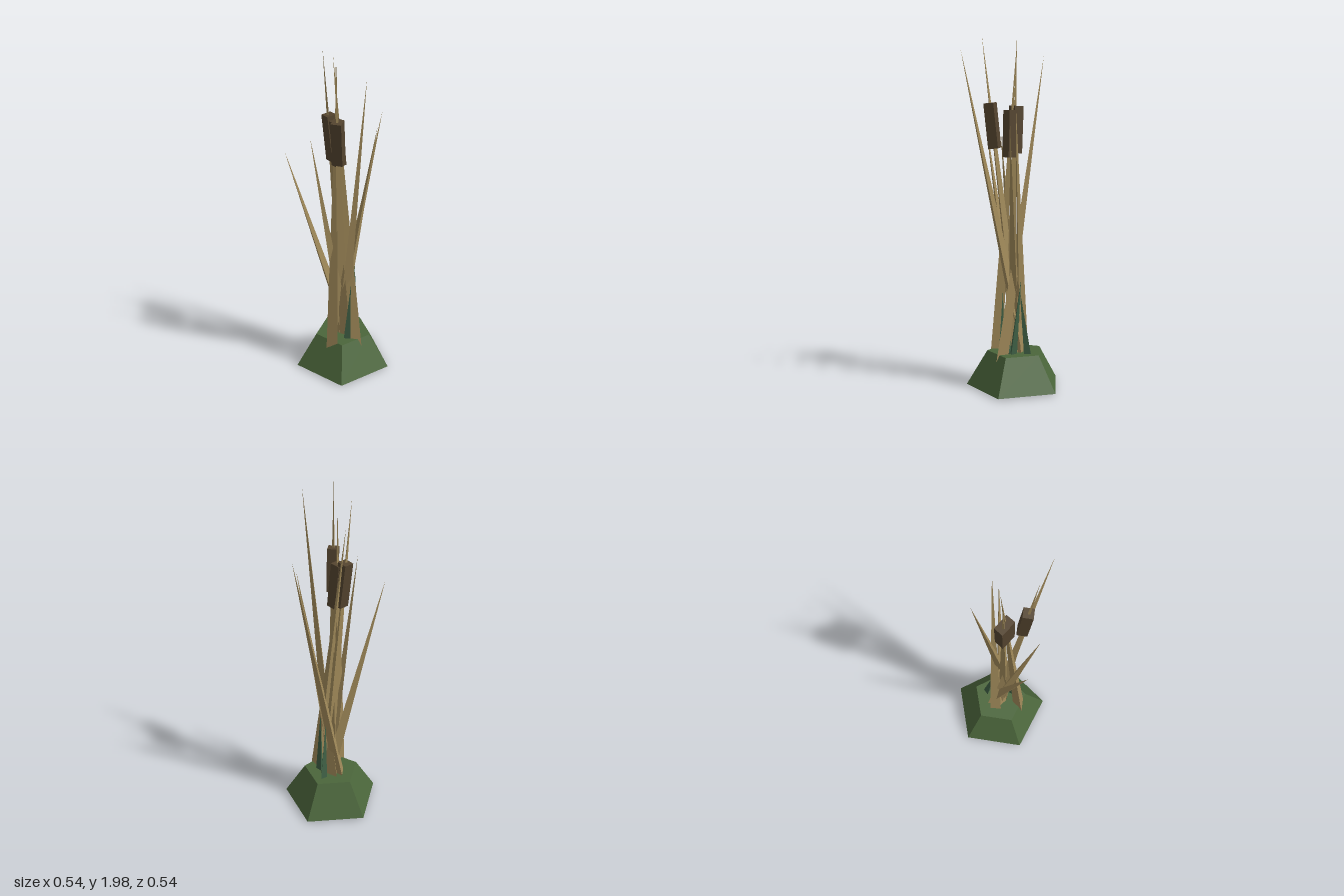
import * as THREE from 'three';

const mat = (name, color) => {
  const m = new THREE.MeshStandardMaterial({ color, flatShading: true });
  m.name = name;
  return m;
};
const UP = new THREE.Vector3(0, 1, 0);

export function createModel() {
  const group = new THREE.Group();
  const moss = mat('moss green', 0x4b663b);
  const straw = mat('dry straw', 0xa18a5a);
  const brown = mat('seed brown', 0x54442f);
  const leafGreen = mat('leaf green', 0x3f6045);

  const add = (name, geometry, material) => {
    const mesh = new THREE.Mesh(geometry, material);
    mesh.name = name;
    group.add(mesh);
    return mesh;
  };

  // Places a geometry standing along y between two points
  const span = (name, a, b, makeGeometry, material, turn = 0) => {
    const from = new THREE.Vector3(...a), to = new THREE.Vector3(...b);
    const dir = to.clone().sub(from);
    const mesh = add(name, makeGeometry(dir.length()).rotateY(turn), material);
    mesh.position.copy(from).add(to).multiplyScalar(0.5);
    mesh.quaternion.setFromUnitVectors(UP, dir.normalize());
    return mesh;
  };
  const spike = (name, a, b, r, material, turn) =>
    span(name, a, b, (h) => new THREE.ConeGeometry(r, h, 3), material, turn);

  // Five-sided earth mound, one corner towards +x
  const mound = add('mound', new THREE.CylinderGeometry(0.162, 0.28, 0.2, 5).rotateY(Math.PI / 2), moss);
  mound.position.set(-0.01, 0.12, -0.005);

  // Dry blades: base, tip, turn
  const blades = [
    [[0.04, 0.02, -0.07], [-0.17, 1.92, 0.27], 0.5],
    [[-0.04, 0.02, 0.13], [0.08, 1.88, -0.14], 0],
    [[0.06, 0.02, 0.03], [-0.27, 1.43, -0.195], 1],
    [[0.04, 0.02, 0], [-0.255, 1.55, -0.03], 0.5],
    [[-0.03, 0.02, -0.09], [0.12, 1.62, 0.16], 0.4],
    [[-0.04, 0.02, -0.05], [0.08, 1.55, 0.16], 1.2],
  ];
  for (const [a, b, turn] of blades) spike('dryBlade', a, b, 0.043, straw, turn);

  // Cattails: stem base, tip, head bottom and top, turn
  const cattails = [
    [[0.02, 0.02, -0.03], [-0.18, 1.99, 0.08], [-0.115, 1.37, 0.05], [-0.14, 1.62, 0.06], 0.35],
    [[-0.02, 0.02, 0.05], [-0.07, 1.97, -0.09], [-0.045, 1.34, -0.04], [-0.053, 1.6, -0.065], -0.3],
    [[-0.145, 0.02, 0.025], [-0.025, 1.92, -0.03], [-0.05, 1.32, 0.0], [-0.058, 1.58, -0.02], -0.25],
  ];
  for (const [base, tip, low, high, turn] of cattails) {
    spike('cattailStem', base, tip, 0.043, straw, turn);
    span('cattailHead', low, high, (h) => new THREE.BoxGeometry(0.058, h, 0.058), brown, turn);
  }

  // Short green leaves
  const leaves = [
    [[0.105, 0.02, -0.005], [0.03, 0.58, 0.01], Math.PI / 2],
    [[0.0, 0.02, 0.07], [0.055, 0.65, 0.03], 0.3],
    [[-0.07, 0.02, 0.06], [-0.04, 0.57, 0.075], 0],
    [[-0.01, 0.02, 0.05], [0.0, 0.43, 0.08], 0.8],
  ];
  for (const [a, b, turn] of leaves) spike('greenLeaf', a, b, 0.035, leafGreen, turn);

  return group;
}
